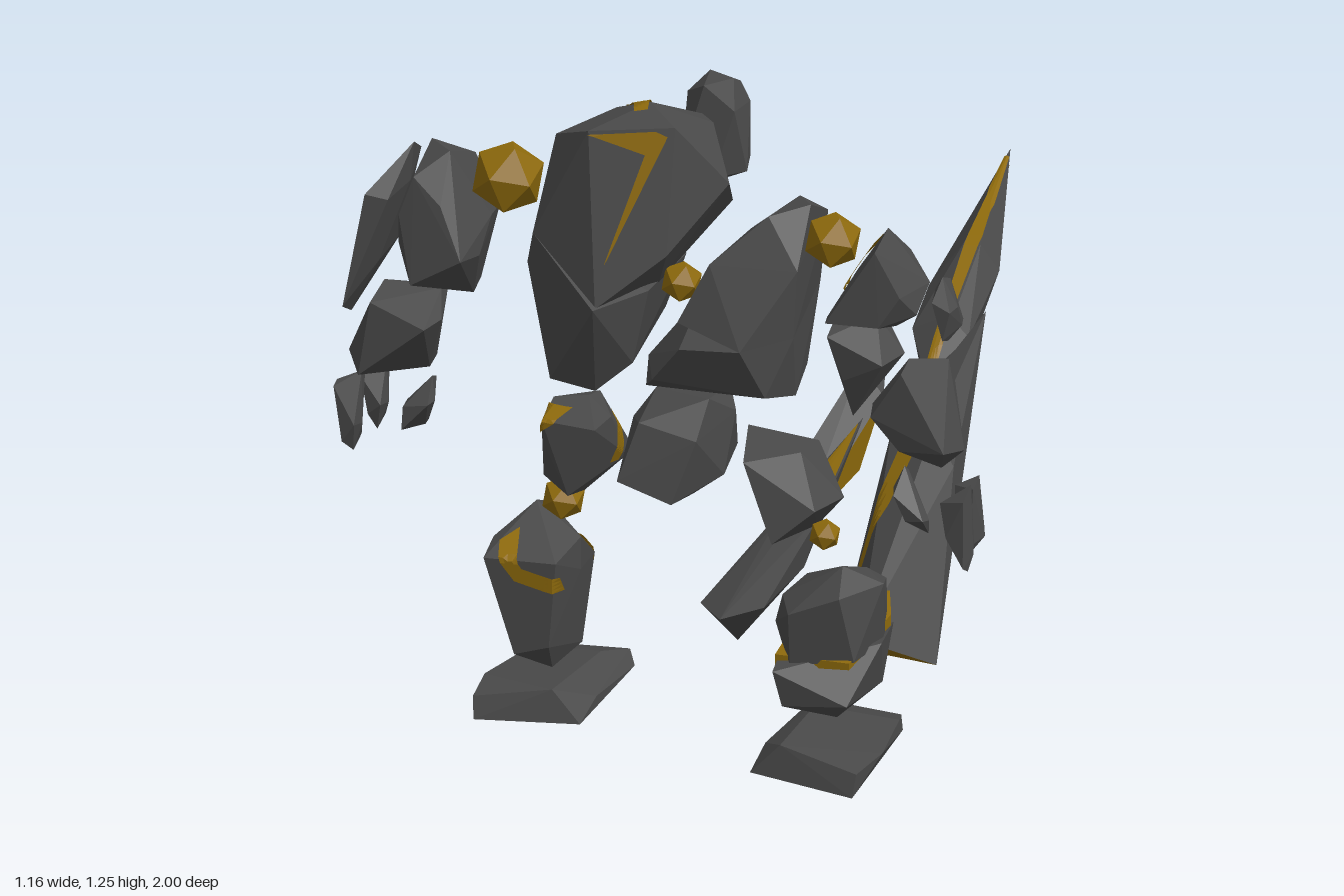
import * as THREE from 'three';
import { ConvexGeometry } from 'three/addons/geometries/ConvexGeometry.js';

const stone = new THREE.MeshStandardMaterial({ color: 0x4a4a4a });
stone.name = 'charcoal stone';
const gold = new THREE.MeshStandardMaterial({ color: 0x8e6a0c, side: THREE.DoubleSide });
gold.name = 'dark gold';

export function createModel() {
  const root = new THREE.Group();
  root.name = 'stoneGolem';

  const add = (name, geo, mat = stone) => {
    const m = new THREE.Mesh(geo, mat);
    m.name = name;
    root.add(m);
    return m;
  };
  const hull = pts => new ConvexGeometry(pts.map(p => new THREE.Vector3(...p)));

  // Faceted boulder: full outline near the middle, smaller uneven ones front and back
  function rock(name, outline, z0, z1, inset = 0.74) {
    const n = outline.length, h = (z1 - z0) / 2, zm = (z0 + z1) / 2;
    const cx = outline.reduce((s, p) => s + p[0], 0) / n;
    const cy = outline.reduce((s, p) => s + p[1], 0) / n;
    const pts = [];
    outline.forEach(([x, y], i) => {
      const j = Math.sin(i * 2.4 + cx * 20);
      pts.push([x, y, zm + h * 0.35 * j]);
      for (const s of [1, -1]) {
        if ((i + (s > 0 ? 0 : 1)) % 2) continue;
        const k = inset + 0.1 * j * s;
        pts.push([cx + (x - cx) * k, cy + (y - cy) * k, zm + s * h * (0.88 + 0.12 * j)]);
      }
    });
    return add(name, hull(pts));
  }

  // Convex shard whose faces are gold where the normal passes a test
  function goldFacedShard(name, pts, isGold) {
    const geo = hull(pts), nor = geo.attributes.normal;
    for (let i = 0; i < nor.count; i += 3) geo.addGroup(i, 3, isGold(nor.getX(i), nor.getY(i)) ? 1 : 0);
    return add(name, geo, [stone, gold]);
  }

  // Thin gold inlay between two polylines, draped on a mesh from one side.
  // Lines are (z, y) from x, (x, z) from y and (x, y) from z.
  const ray = new THREE.Raycaster();
  const place = {
    x: (s, t, d) => new THREE.Vector3(d, t, s),
    y: (s, t, d) => new THREE.Vector3(s, d, t),
    z: (s, t, d) => new THREE.Vector3(s, t, d),
  };
  function inlay(name, mesh, side, a, b) {
    const sign = side[1] === '+' ? 1 : -1, put = place[side[0]];
    const at = (line, t) => {
      const f = t * (line.length - 1), i = Math.min(Math.floor(f), line.length - 2);
      return line[i].map((v, k) => v + (line[i + 1][k] - v) * (f - i));
    };
    const drape = (u, v) => {
      const p = at(a, u), q = at(b, u);
      const s = p[0] + (q[0] - p[0]) * v, t = p[1] + (q[1] - p[1]) * v;
      ray.set(put(s, t, 3 * sign), put(0, 0, -sign));
      const hit = ray.intersectObject(mesh)[0];
      return hit && hit.point.addScaledVector(hit.face.normal, 0.004);
    };
    const pos = [], N = 20, M = 4;
    for (let i = 0; i < N; i++) for (let j = 0; j < M; j++) {
      const c = [[i, j], [i + 1, j], [i + 1, j + 1], [i, j + 1]].map(([u, v]) => drape(u / N, v / M));
      if (c.some(p => !p)) continue;
      for (const k of [0, 1, 2, 0, 2, 3]) pos.push(...c[k].toArray());
    }
    const geo = new THREE.BufferGeometry();
    geo.setAttribute('position', new THREE.Float32BufferAttribute(pos, 3));
    geo.computeVertexNormals();
    add(name, geo, gold);
  }

  // Torso and head
  const torso = add('upperTorso', hull([
    [-.15, 1.19, .85], [-.06, 1.225, .93], [.08, 1.235, .9], [.11, 1.22, .8], [0, 1.245, .8], [-.1, 1.2, .7], [.05, 1.2, .69],
    [.152, 1.13, .84], [-.175, 1.03, .9], [-.17, 1, .78], [-.03, .94, .99], [.07, 1.02, .92], [.1, 1.05, .68], [-.13, 1, .66],
    [-.02, 1, .65], [.03, .95, .85]]));
  add('lowerTorso', hull([
    [-.175, 1.03, .9], [-.22, .95, .82], [-.17, 1, .74], [-.03, .94, 1], [.03, .95, .9], [.03, .96, .72], [-.13, 1, .66], [-.02, 1, .65],
    [-.15, .775, .9], [-.06, .77, .92], [0, .82, .9], [-.17, .87, .74], [-.02, .85, .69], [-.1, .78, .75]]));
  inlay('torsoFrontInlay', torso, 'z+', [[-.02, 1.01], [.035, 1.19], [-.06, 1.219]], [[-.015, 1.02], [.07, 1.22], [.05, 1.228]]);
  inlay('torsoTopInlay', torso, 'y+', [[-.08, .7], [-.04, .77], [-.01, .85]], [[-.05, .7], [-.01, .77], [.01, .84]]);
  inlay('torsoBackInlay', torso, 'z-', [[-.06, 1.03], [-.07, 1.12], [-.08, 1.205]], [[-.045, 1.03], [-.035, 1.12], [-.045, 1.205]]);
  const head = rock('head', [[-.01, 1.1], [-.01, 1.21], [.03, 1.25], [.08, 1.245], [.1, 1.2], [.1, 1.08], [.05, 1.06]], .56, .645, .85);
  inlay('headInlay', head, 'z-', [[.035, 1.1], [.05, 1.16], [.035, 1.21]], [[.048, 1.1], [.063, 1.16], [.05, 1.21]]);

  // Lower chest: a slab below with a crest rising over it
  add('lowerChest', hull([[-.01, .8, .8], [0, .76, .84], [.26, .765, .82], [.27, .88, .86], [.2, .87, .93], [.09, .86, .92], [.03, .79, .89],
    [.23, .78, .89], [.1, .92, .85], [.24, .78, .7], [.05, .78, .72], [.25, .92, .66], [.08, .92, .67]]));
  add('chestCrest', hull([[.08, .9, .9], [.2, .87, .93], [.27, .88, .86], [.13, 1, .88], [.22, 1.08, .84], [.28, 1.095, .8], [.28, 1, .87],
    [.14, 1.01, .7], [.22, 1.07, .68], [.27, 1.05, .68], [.25, .92, .66], [.08, .92, .67]]));

  // Joint crystals, each showing a face to the front
  [['rightShoulderCrystal', -.26, 1.09, .8, .065], ['leftShoulderCrystal', .335, 1.055, .85, .049],
    ['chestCrystal', .07, .955, .85, .036], ['rightKneeCrystal', -.19, .5, .755, .04],
    ['leftKneeCrystal', .305, .513, .8, .028]].forEach(([name, x, y, z, r]) => {
    const c = add(name, new THREE.IcosahedronGeometry(r, 0), gold);
    c.position.set(x, y, z);
    c.rotation.set(.36, 0, .2);
  });

  // Right arm
  const plate = rock('rightArmPlate', [[-.56, .82], [-.555, .94], [-.5, 1.06], [-.44, 1.13], [-.45, 1.06], [-.5, .92]], .72, .86, .8);
  inlay('armPlateInlay', plate, 'z-', [[-.515, .95], [-.475, 1.05]], [[-.505, .945], [-.465, 1.045]]);
  rock('rightUpperArm', [[-.42, 1.13], [-.36, 1.13], [-.35, 1.06], [-.305, 1.01], [-.31, .95], [-.35, .86], [-.42, .885], [-.47, .95], [-.46, 1.03]], .69, .88, .8);
  rock('rightForearm', [[-.5, .88], [-.4, .87], [-.38, .83], [-.43, .72], [-.53, .715], [-.565, .75]], .71, .88, .8);
  rock('rightOuterFinger', [[-.58, .7], [-.54, .715], [-.54, .62], [-.555, .57], [-.575, .57]], .79, .85, .8);
  rock('rightBackFinger', [[-.58, .68], [-.545, .69], [-.54, .62], [-.56, .57], [-.575, .59]], .68, .74, .8);
  rock('rightThumb', [[-.48, .65], [-.43, .7], [-.42, .66], [-.45, .605], [-.48, .6]], .73, .8, .8);

  // Left arm
  const shoulder = rock('leftShoulder', [[.315, .91], [.35, .98], [.415, 1.07], [.43, 1.02], [.475, .97], [.47, .93], [.42, .89]], .7, .88);
  inlay('shoulderInlay', shoulder, 'y+', [[.335, .77], [.415, .77]], [[.335, .785], [.41, .785]]);
  rock('leftUpperArm', [[.325, .9], [.39, .91], [.44, .85], [.36, .74], [.345, .8]], .72, .87, .78);
  rock('leftForearm', [[.385, .755], [.41, .79], [.455, .85], [.51, .84], [.545, .69], [.51, .66], [.44, .67]], .71, .86, .78);
  rock('leftArmChip', [[.485, .96], [.5, .985], [.53, .94], [.53, .9], [.515, .88], [.49, .92]], .73, .82);
  rock('leftThumb', [[.415, .6], [.43, .635], [.48, .55], [.475, .52], [.44, .54]], .73, .79);
  rock('leftOuterFinger', [[.53, .56], [.525, .62], [.575, .655], [.58, .53], [.575, .505]], .82, .88);
  rock('leftBackFinger', [[.52, .56], [.525, .62], [.565, .64], [.575, .53], [.56, .51]], .74, .79);

  // Hips and thighs
  const thigh = rock('rightThigh', [[-.2, .69], [-.14, .695], [-.08, .68], [-.075, .59], [-.14, .53], [-.215, .55], [-.2, .62]], .68, .86, .8);
  inlay('thighInlay', thigh, 'z+', [[-.198, .685], [-.193, .65]], [[-.15, .685], [-.185, .66]]);
  inlay('thighInnerInlay', thigh, 'x+', [[.755, .675], [.765, .59]], [[.785, .675], [.785, .59]]);
  rock('pelvis', [[-.04, .6], [-.045, .68], [-.01, .73], [.11, .745], [.13, .7], [.125, .6], [.07, .56], [0, .57]], .67, .91, .8);
  rock('leftThigh', [[.155, .68], [.27, .665], [.335, .58], [.285, .52], [.24, .51], [.17, .6]], .7, .89, .78);

  // Shins; the left one is split by a gold band
  const shin = rock('rightShin', [[-.305, .43], [-.25, .48], [-.15, .44], [-.15, .38], [-.17, .22], [-.2, .195], [-.26, .2], [-.3, .27]], .66, .87, .78);
  for (const side of ['z+', 'z-']) {
    inlay('rightShinInlay', shin, side, [[-.28, .435], [-.24, .38], [-.165, .36]], [[-.255, .45], [-.225, .405], [-.165, .39]]);
  }
  add('leftShinTop', hull([[.23, .36, .84], [.25, .42, .86], [.36, .49, .87], [.42, .45, .83], [.41, .33, .8], [.25, .31, .85],
    [.28, .315, .91], [.39, .33, .9], [.37, .45, .92], [.28, .41, .92], [.26, .42, .76], [.37, .45, .77],
    [.27, .39, .7], [.38, .4, .69], [.26, .31, .72], [.39, .33, .71]]));
  rock('leftShin', [[.245, .32], [.42, .345], [.405, .25], [.35, .21], [.25, .235]], .7, .95, .8);
  add('leftShinBand', hull([[.25, .305, .9], [.25, .326, .9], [.385, .32, .91], [.385, .332, .91],
    [.255, .325, .7], [.255, .36, .7], [.385, .335, .688], [.385, .375, .685], [.408, .34, .75], [.408, .36, .75]]), gold);

  // Feet: slabs with an overhanging upper rim, thinning toward the toe
  const foot = (name, x0, x1, z0, z1, mirror) => {
    const w = x1 - x0, fx = t => (mirror ? x1 - t * w : x0 + t * w);
    add(name, hull([
      [fx(.1), .122, z0 + .06], [fx(1), .122, z0 + .05], [fx(.2), .122, z0], [fx(.85), .122, z0], [fx(.1), .122, z1], [fx(1), .122, z1 - .04],
      [fx(0), .164, z1 - .1], [fx(.08), .162, z1 - .01], [fx(.75), .181, z1 - .04], [fx(.78), .165, z0 + .1], [fx(.1), .15, z0 + .08],
      [fx(1), .142, z1 - .12], [fx(.9), .14, z0 + .02]]));
  };
  foot('rightFoot', -.33, -.125, .545, .9, false);
  foot('leftFoot', .22, .437, .64, .985, true);

  // Broken blade, four floating shards
  const base = goldFacedShard('bladeBase', [[.11, .005, .14], [.325, .02, .2], [.21, .105, .32], [.21, .48, -.5],
    [.215, .36, -.12], [.115, .33, -.18], [.265, .3, -.1]], (nx, ny) => ny < -.5);
  inlay('bladeBaseInlay', base, 'y+', [[.118, .11], [.14, .0], [.165, -.22]], [[.13, .13], [.175, .02], [.212, -.2]]);
  const side = add('bladeSide', hull([[-.13, .1, .24], [-.06, .11, .325], [.015, .13, .29], [-.07, .015, .2], [.05, .34, -.2],
    [.05, .235, .065], [-.04, .205, .08], [.03, .14, .1]]));
  inlay('bladeSideInlay', side, 'y+', [[.047, -.18], [-.037, .08]], [[.048, -.17], [.048, .062]]);
  goldFacedShard('bladeMiddle', [[0, .42, -.52], [.05, .34, -.33], [-.04, .13, -.065], [.02, .2, -.27], [-.055, .28, -.2], [0, .4, -.33]],
    (nx, ny) => nx > .05 && ny < .1);
  // The tip has narrow flat crests above and below that carry the gold
  const tip = add('bladeTip', hull([[.115, .67, -1], [.18, .5, -.7], [.175, .42, -.5], [.12, .37, -.38], [.05, .42, -.52],
    [.045, .47, -.65], [.11, .56, -.68], [.145, .56, -.68], [.115, .455, -.5], [.14, .455, -.5],
    [.095, .3, -.47], [.15, .3, -.47], [.095, .385, -.68], [.145, .385, -.68]]));
  inlay('bladeTipInlay', tip, 'y+', [[.113, -.97], [.112, -.7], [.117, -.4]], [[.118, -.97], [.143, -.7], [.133, -.42]]);
  inlay('bladeTipUnderInlay', tip, 'y-', [[.112, -.97], [.097, -.68], [.097, -.45]], [[.118, -.97], [.143, -.68], [.148, -.45]]);
  return root;
}
